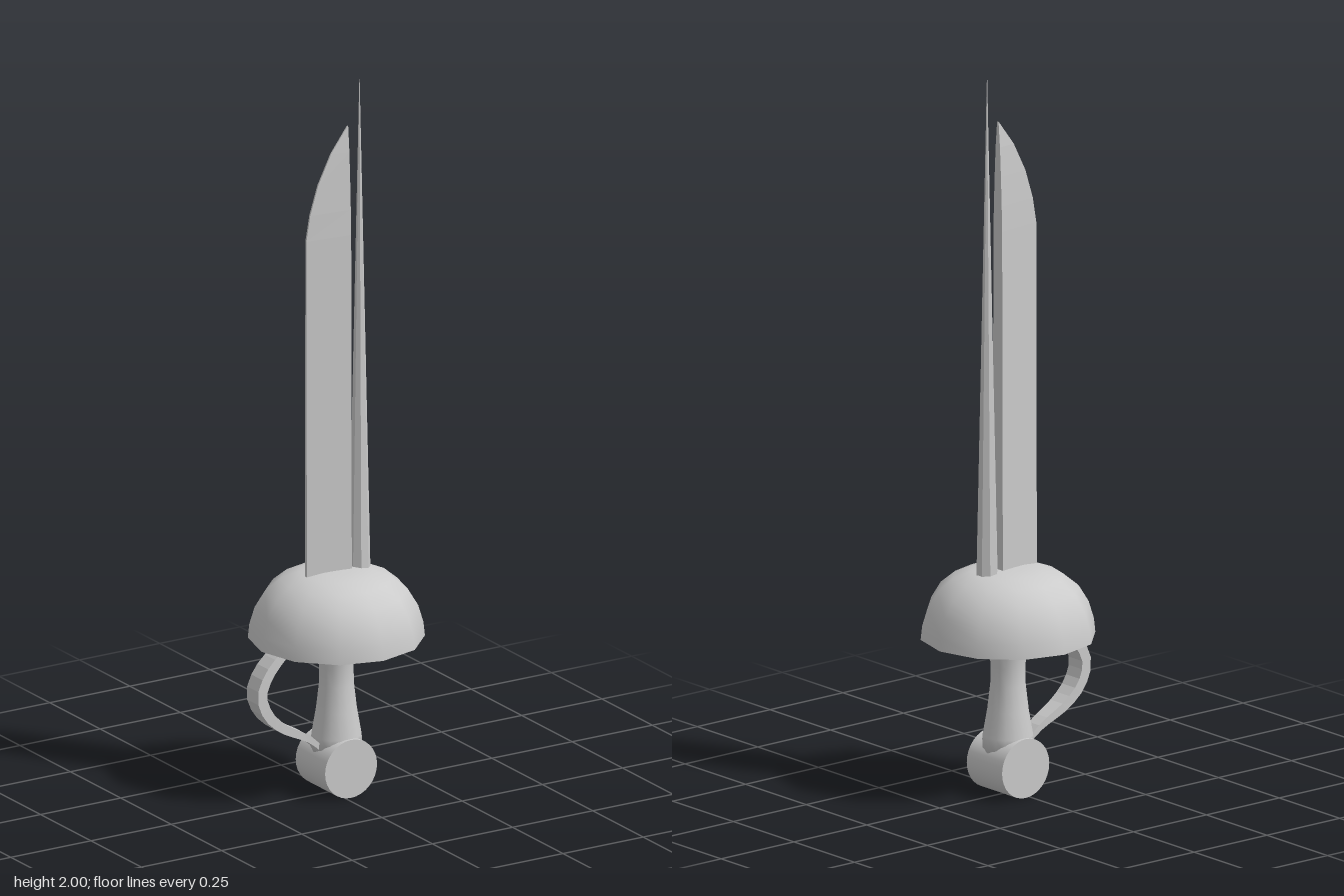
import * as THREE from 'three';

const AXIS_X = 0.015; // grip, bowl and pommel share this axis

function makeMaterial(options = {}) {
  return new THREE.MeshStandardMaterial({ color: 0xcccccc, ...options });
}

function addMesh(group, name, geometry, options) {
  const mesh = new THREE.Mesh(geometry, makeMaterial(options));
  mesh.name = name;
  group.add(mesh);
  return mesh;
}

function points(list) {
  return list.map(([x, y]) => new THREE.Vector2(x, y));
}

// Joins cross-sections (rings of equal corner count) into a closed solid.
function loft(rings) {
  const n = rings[0].length;
  const index = [];
  for (let i = 0; i < rings.length - 1; i++) {
    for (let j = 0; j < n; j++) {
      const a = i * n + j, b = i * n + (j + 1) % n;
      index.push(a, b, b + n, a, b + n, a + n);
    }
  }
  const last = (rings.length - 1) * n;
  for (let j = 1; j < n - 1; j++) {
    index.push(0, j + 1, j, last, last + j, last + j + 1);
  }
  const geometry = new THREE.BufferGeometry();
  geometry.setAttribute('position', new THREE.Float32BufferAttribute(rings.flat(2), 3));
  geometry.setIndex(index);
  geometry.computeVertexNormals();
  return geometry;
}

// Wedge blade: sharp at -x, thick spine at +x, thinning along the curved tip.
function bladeGeometry() {
  const spineX = 0.05, edgeX = -0.08;
  const sections = [ // height, cutting edge x, half thickness of spine
    [0.58, edgeX, 0.021], [1.55, edgeX, 0.018], [1.62, -0.068, 0.016],
    [1.70, -0.043, 0.013], [1.78, -0.003, 0.009], [1.85, 0.049, 0.003],
  ];
  return loft(sections.map(([y, x, t]) => {
    const e = 0.002 + 0.003 * Math.max(0, (1.85 - y) / 1.27); // blunt edge
    const h = Math.min(e, t);
    return [[x, y, h], [spineX, y, t], [spineX, y, -t], [x, y, -h]];
  }));
}

// Curved strap from the pommel out and up into the bowl.
function strapGeometry() {
  const curve = new THREE.CatmullRomCurve3([
    [-0.035, 0.125], [-0.08, 0.165], [-0.17, 0.215], [-0.215, 0.26],
    [-0.233, 0.315], [-0.21, 0.37], [-0.155, 0.425], [-0.09, 0.475], [-0.02, 0.53],
  ].map(([x, y]) => new THREE.Vector3(x, y, 0)));
  const rings = [];
  const steps = 20;
  for (let i = 0; i <= steps; i++) {
    const u = i / steps;
    const p = curve.getPointAt(u), d = curve.getTangentAt(u);
    const bulge = Math.sin(Math.PI * Math.min(1, u * 1.05));
    const t = 0.006 + 0.009 * bulge;
    const w = 0.017 + 0.011 * bulge;
    const nx = d.y * t, ny = -d.x * t;
    rings.push([
      [p.x + nx, p.y + ny, w], [p.x + nx, p.y + ny, -w],
      [p.x - nx, p.y - ny, -w], [p.x - nx, p.y - ny, w],
    ]);
  }
  return loft(rings);
}

export function createModel() {
  const group = new THREE.Group();
  group.name = 'sword';

  addMesh(group, 'blade', bladeGeometry(), { flatShading: true, side: THREE.DoubleSide });

  // Slim spike beside the spine of the blade
  const spike = addMesh(group, 'spike', new THREE.ConeGeometry(0.03, 1.42, 8), { flatShading: true });
  spike.position.set(0.087, 1.29, 0);
  spike.rotation.y = Math.PI / 8;

  // Open twelve-sided bowl protecting the hand
  const bowlProfile = points([
    [0.234, 0.43], [0.23, 0.468], [0.216, 0.515], [0.189, 0.56],
    [0.148, 0.594], [0.1, 0.613], [0.05, 0.619], [0, 0.62],
  ]);
  const bowl = addMesh(group, 'handGuard', new THREE.LatheGeometry(bowlProfile, 12), { side: THREE.DoubleSide });
  bowl.position.x = AXIS_X;

  // Waisted grip, flaring into the bowl and the pommel
  const gripProfile = points([
    [0, 0.1], [0.071, 0.12], [0.067, 0.16], [0.055, 0.23], [0.047, 0.3],
    [0.046, 0.35], [0.052, 0.4], [0.06, 0.45], [0.078, 0.52], [0.085, 0.59],
  ]);
  const grip = addMesh(group, 'grip', new THREE.LatheGeometry(gripProfile, 16), { side: THREE.DoubleSide });
  grip.position.x = AXIS_X;

  // Cylindrical pommel lying front to back
  const pommel = addMesh(group, 'pommel', new THREE.CylinderGeometry(0.081, 0.081, 0.146, 32));
  pommel.rotation.x = Math.PI / 2;
  pommel.position.set(AXIS_X, 0.081, 0);

  addMesh(group, 'knuckleStrap', strapGeometry(), { flatShading: true, side: THREE.DoubleSide });

  return group;
}
